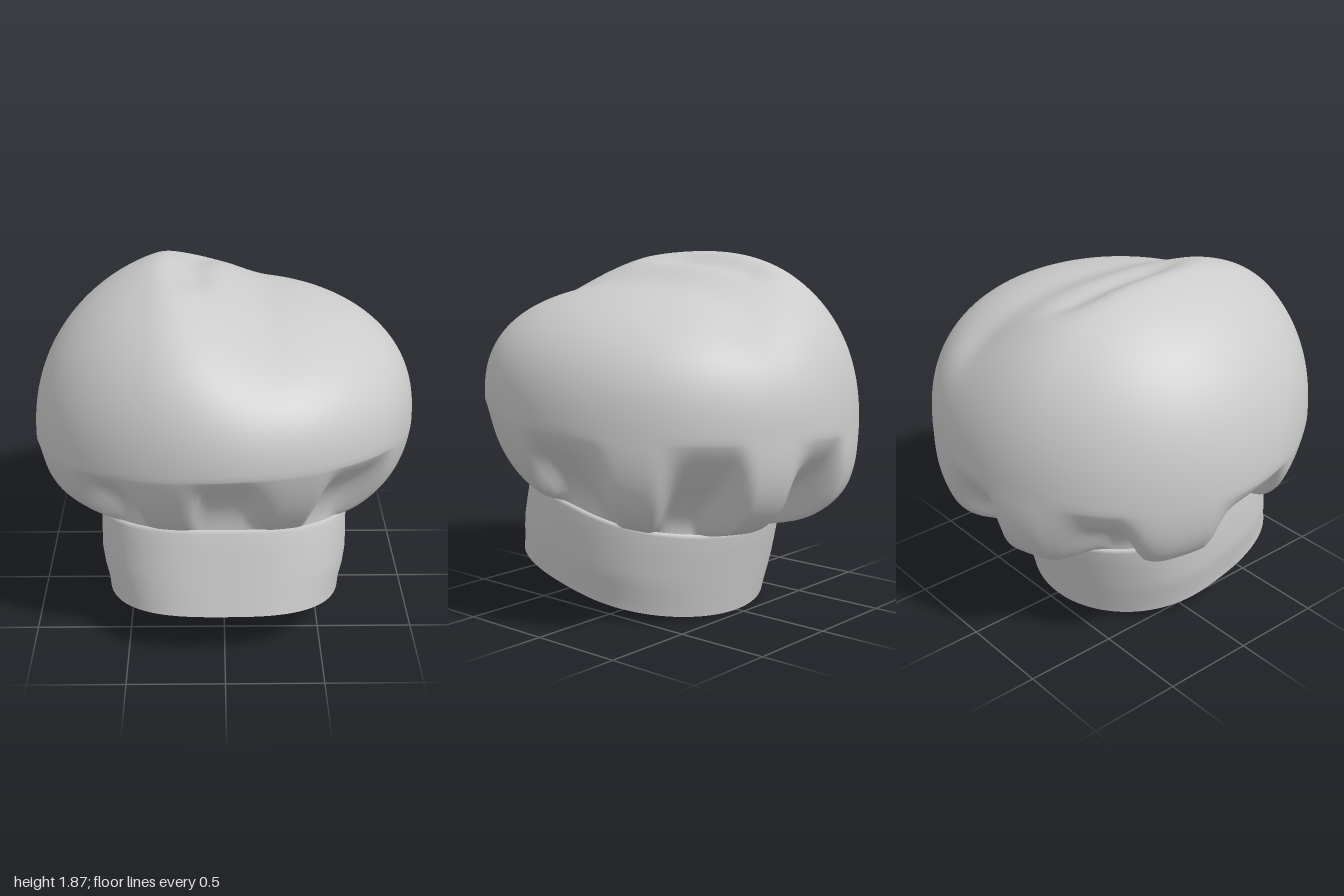
import * as THREE from 'three';

const SEG = 192;
const TILT = Math.atan(0.219);
const { sin, cos, pow, abs, sign, exp, PI } = Math;
const lerp = THREE.MathUtils.lerp;
const smooth = THREE.MathUtils.smoothstep;
const material = new THREE.MeshStandardMaterial({ color: 0xcccccc, side: THREE.DoubleSide });

// Joins rows of points into a closed tube; angle 0 is the front, PI/2 the left
function loft(name, rowCount, pointAt) {
  const positions = [], index = [];
  for (let i = 0; i < rowCount; i++) {
    for (let j = 0; j < SEG; j++) positions.push(...pointAt((j / SEG) * PI * 2, i).toArray());
  }
  for (let i = 0; i < rowCount - 1; i++) {
    for (let j = 0; j < SEG; j++) {
      const a = i * SEG + j, b = i * SEG + ((j + 1) % SEG);
      index.push(a, b, a + SEG, b, b + SEG, a + SEG);
    }
  }
  const geometry = new THREE.BufferGeometry();
  geometry.setAttribute('position', new THREE.Float32BufferAttribute(positions, 3));
  geometry.setIndex(index);
  geometry.computeVertexNormals();
  const mesh = new THREE.Mesh(geometry, material);
  mesh.name = name;
  return mesh;
}

// Point on the tilted, slightly squared head band; h is height along its axis
function bandPoint(a, h, scale = 1) {
  const k = 2 / (2.4 + 0.35 * cos(a));
  const width = lerp(0.62, 0.66, smooth(h, 0, 0.22));
  const x = sign(sin(a)) * pow(abs(sin(a)), k) * width * scale;
  const z = sign(cos(a)) * pow(abs(cos(a)), k) * 0.65 * scale;
  return new THREE.Vector3(
    x,
    0.14 + z * sin(TILT) + h * cos(TILT),
    0.185 + z * cos(TILT) - h * sin(TILT)
  );
}

// Height of the widest line of the puff
const equator = (a) => 1.04 + 0.08 * cos(a) + 0.03 * cos(2 * a) + 0.04 * sin(a);

// Crown height: a ridge on the right, a lower plateau on the left, a fold between
function crownHeight(x, z) {
  const fold = exp(-pow((x + 0.17 - 0.15 * z * z) / 0.11, 2))
    * smooth(z, -0.65, -0.35) * (1 - smooth(z, 0, 0.4));
  return 1.92 - 0.2 * smooth(x, -0.36, 0.26) - 0.06 * fold;
}

function crownPoint(a, t) {
  const r = cos(t * PI / 2);
  const x = r * sin(a), z = r * cos(a);
  const n = 2.36 + 0.2 * sin(a) - 0.03 * cos(a);
  const e = equator(a);
  const rise = pow(Math.max(0, 1 - pow(r, n)), 1 / n);
  const dimple = 0.03 * exp(-(pow(x - 0.25, 2) + pow(z + 0.72, 2)) / 0.02);
  return new THREE.Vector3(x, e + (crownHeight(x, z) - e) * rise - dimple, z);
}

// Gathered underside: 1 is the middle of a hollow, 0 is a pleat ridge
function hollow(a) {
  const wave = cos(8 * a + 0.7 * sin(2 * a + 0.5) - 0.35) + 0.2 * cos(19 * a + 1);
  return smooth(wave, -0.6, 0.8);
}

function underPoint(a, t) {
  const p0 = bandPoint(a, 0.45, 0.97);
  const back = (1 - cos(a)) / 2;
  const e = equator(a), g = hollow(a);
  const ring = (r, y) => new THREE.Vector3(r * sin(a), y, r * cos(a));
  // Ridges run out diagonally, hollows climb the neck before turning out
  const ridge1 = ring(lerp(0.86, 0.84, back), lerp(p0.y + 0.1, 0.5, back));
  const ridge2 = ring(lerp(0.95, 1.02, back), lerp(e - 0.17, e - 0.4, back));
  const deep1 = p0.clone().add(ring(0.01, lerp(0.26, 0.2, back)));
  const deep2 = ring(0.93, lerp(e - 0.12, e - 0.24, back));
  return new THREE.CubicBezierCurve3(
    p0, ridge1.lerp(deep1, g), ridge2.lerp(deep2, g), ring(1, e)
  ).getPoint(t);
}

export function createModel() {
  const hat = new THREE.Group();
  hat.name = 'chefHat';

  // Head band, with a softly rolled top edge
  const bandRows = [[0, 1], [0.06, 1], [0.14, 1], [0.22, 1], [0.35, 1], [0.44, 1], [0.46, 0.99], [0.455, 0.95]];
  hat.add(loft('headBand', bandRows.length, (a, i) => bandPoint(a, ...bandRows[i])));

  // Flat underside of the band
  hat.add(loft('bandBase', 2, (a, i) => bandPoint(a, 0, i)));

  // Puff: pleated underside followed by the smooth crown
  const under = 30, crown = 64;
  hat.add(loft('puff', under + crown + 1, (a, i) =>
    i < under ? underPoint(a, i / under) : crownPoint(a, (i - under) / crown)));

  return hat;
}
